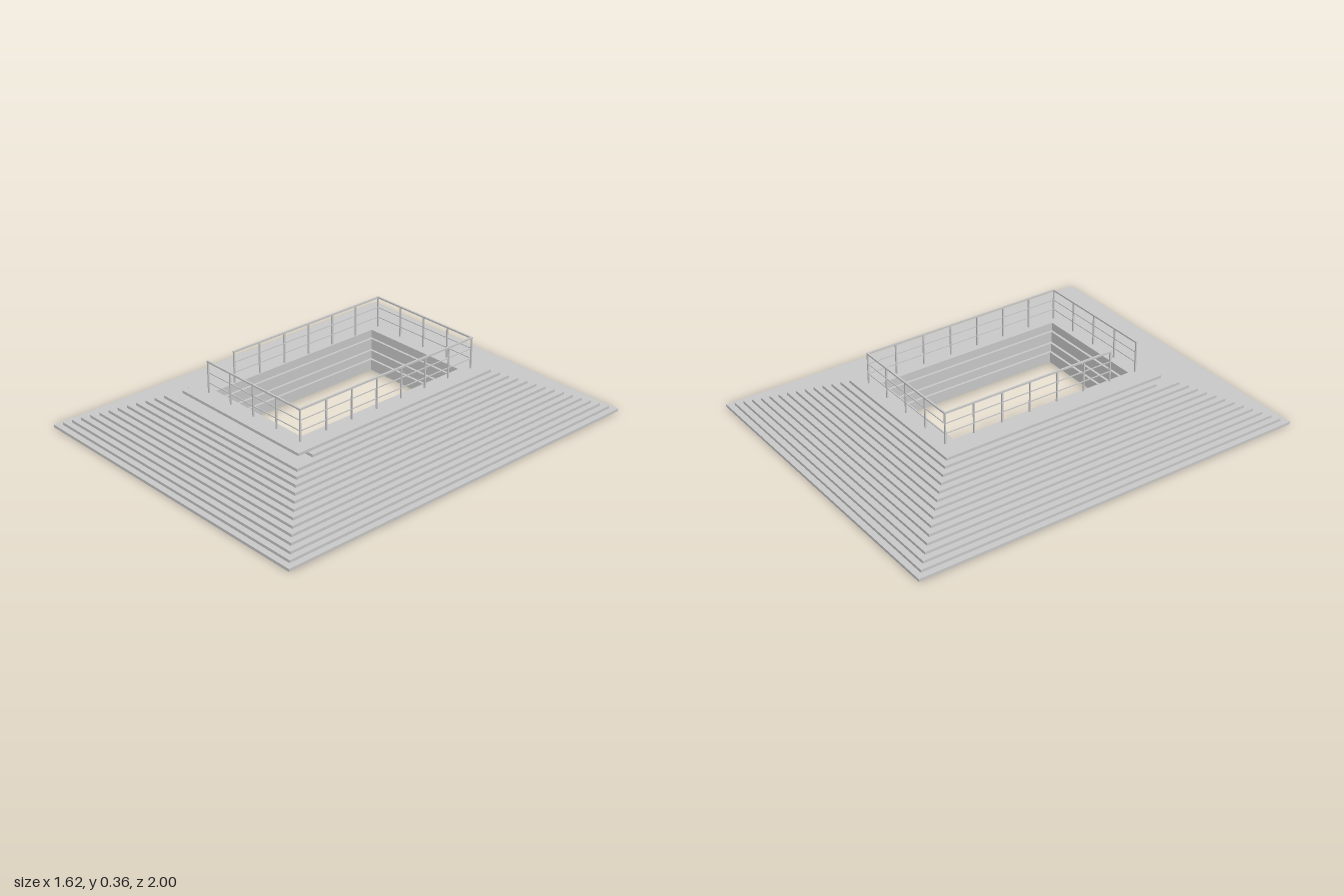
import * as THREE from 'three';

const grey = new THREE.MeshStandardMaterial({ color: 0xcccccc, flatShading: true });

// Rectangle outline from its bounds
function rect(Target, x, z0, z1) {
  const path = new Target();
  path.moveTo(-x, z0);
  path.lineTo(x, z0);
  path.lineTo(x, z1);
  path.lineTo(-x, z1);
  path.closePath();
  return path;
}

// One flat rectangular ring of the stepped base
function stepRing(name, y, h, outerX, back, front, holeX, holeZ) {
  // the shape's y axis becomes -z when laid flat
  const shape = rect(THREE.Shape, outerX, -front, -back);
  shape.holes.push(rect(THREE.Path, holeX, -holeZ, holeZ));
  const geometry = new THREE.ExtrudeGeometry(shape, { depth: h, bevelEnabled: false });
  geometry.rotateX(-Math.PI / 2);
  const mesh = new THREE.Mesh(geometry, grey);
  mesh.name = name;
  mesh.position.y = y;
  return mesh;
}

function box(name, w, h, d, x, y, z) {
  const mesh = new THREE.Mesh(new THREE.BoxGeometry(w, h, d), grey);
  mesh.name = name;
  mesh.position.set(x, y, z);
  return mesh;
}

// Straight railing between two floor points, split into equal bays
function railing(name, a, b, bays, floor) {
  const group = new THREE.Group();
  group.name = name;
  const dx = b[0] - a[0], dz = b[1] - a[1];
  const cx = (a[0] + b[0]) / 2, cz = (a[1] + b[1]) / 2;
  for (let i = 0; i <= bays; i++) {
    const t = i / bays;
    group.add(box('railingPost', 0.007, 0.15, 0.007, a[0] + dx * t, floor + 0.075, a[1] + dz * t));
  }
  [[0.152, 0.008], [0.1, 0.004], [0.05, 0.004]].forEach(([y, s], i) => {
    group.add(box(i ? 'middleRail' : 'topRail', Math.abs(dx) + s, s, Math.abs(dz) + s, cx, floor + y, cz));
  });
  return group;
}

export function createModel() {
  const model = new THREE.Group();
  model.name = 'steppedPlatform';

  // Stepped base: the outside narrows upward, the opening widens
  const base = new THREE.Group();
  base.name = 'steppedBase';
  const layers = 15, top = 0.2, h = top / layers;
  for (let i = 0; i < layers; i++) {
    const inset = 0.0298 * i;
    const outerX = 0.808 - inset, outerZ = 1 - inset;
    // the ring under the deck stops short at the front
    const front = i === layers - 2 ? 0.53 : outerZ;
    const widen = i === 0 ? 0.048 : 0.012 * Math.floor((i - 1) / 3.5);
    base.add(stepRing('step' + (i + 1), i * h, h, outerX, -outerZ, front, 0.25 + widen, 0.44 + widen));
  }
  model.add(base);

  // Railings around the opening, with an entry gap at the front of the -x side
  const x0 = -0.295, x1 = 0.318, z0 = -0.525, z1 = 0.508;
  const bay = (z1 - z0) / 7;
  model.add(
    railing('frontRailing', [x0, z1], [x1, z1], 4, top),
    railing('backRailing', [x0, z0], [x1, z0], 4, top),
    railing('leftRailing', [x1, z0], [x1, z1], 7, top),
    railing('rightRailing', [x0, z0], [x0, z1 - bay], 6, top)
  );
  return model;
}
